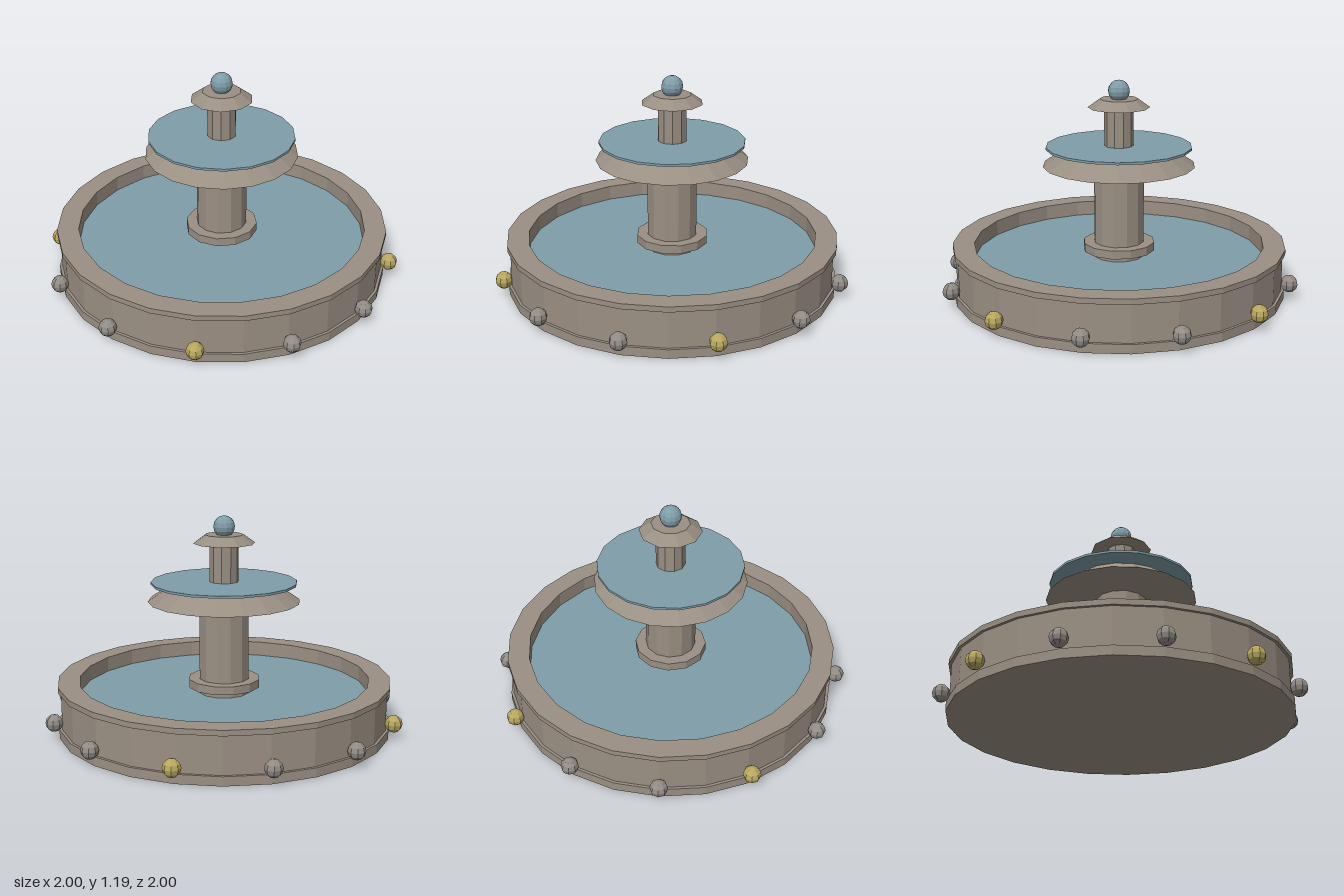
import * as THREE from 'three';

const mat = (name, color, extra = {}) => {
  const m = new THREE.MeshStandardMaterial({ color, flatShading: true, ...extra });
  m.name = name;
  return m;
};

export function createModel() {
  const model = new THREE.Group();
  model.name = 'fountain';
  const stone = mat('stone', 0x9a8f83);
  const water = mat('water', 0x7f9da8);
  const greyStone = mat('grey stone', 0x928c86);
  const gold = mat('gold', 0xb8a75f);

  const add = (name, geometry, material, y = 0) => {
    const mesh = new THREE.Mesh(geometry, material);
    mesh.name = name;
    mesh.position.y = y;
    model.add(mesh);
    return mesh;
  };
  // Faceted drum or cone between two heights
  const drum = (name, rBottom, rTop, y0, y1, sides, material) =>
    add(name, new THREE.CylinderGeometry(rTop, rBottom, y1 - y0, sides), material, (y0 + y1) / 2);

  // Basin: foot, wall, overhanging rim and hollow inside
  const profile = [
    [0, 0], [0.925, 0], [0.925, 0.05], [0.91, 0.05], [0.91, 0.255], [0.925, 0.255],
    [0.925, 0.285], [0.805, 0.285], [0.805, 0.1], [0, 0.1],
  ].map(([x, y]) => new THREE.Vector2(x, y));
  add('basin', new THREE.LatheGeometry(profile, 24), stone);
  drum('basinWater', 0.805, 0.805, 0.18, 0.2, 24, water);

  // Lower column with its collar
  drum('columnCollar', 0.2, 0.2, 0.235, 0.282, 12, stone);
  drum('lowerColumn', 0.14, 0.14, 0.1, 0.72, 12, stone);

  // Middle tier with a sheet of water
  drum('middleTier', 0.42, 0.28, 0.72, 0.815, 18, stone);
  drum('middleWater', 0.402, 0.402, 0.815, 0.828, 18, water);

  // Upper column, cap and water ball
  drum('upperColumn', 0.08, 0.08, 0.82, 1.04, 10, stone);
  drum('topCap', 0.17, 0.105, 1.04, 1.087, 10, stone);
  add('waterBall', new THREE.SphereGeometry(0.06, 12, 8), water, 1.13);

  // Ring of beads around the basin, every third one gold
  for (let i = 0; i < 12; i++) {
    const a = (i * Math.PI) / 6;
    const isGold = i % 3 === 2;
    const bead = add(isGold ? 'goldBead' : 'stoneBead',
      new THREE.SphereGeometry(0.048, 8, 6), isGold ? gold : greyStone, 0.092);
    bead.position.x = 0.952 * Math.cos(a);
    bead.position.z = 0.952 * Math.sin(a);
  }
  return model;
}
